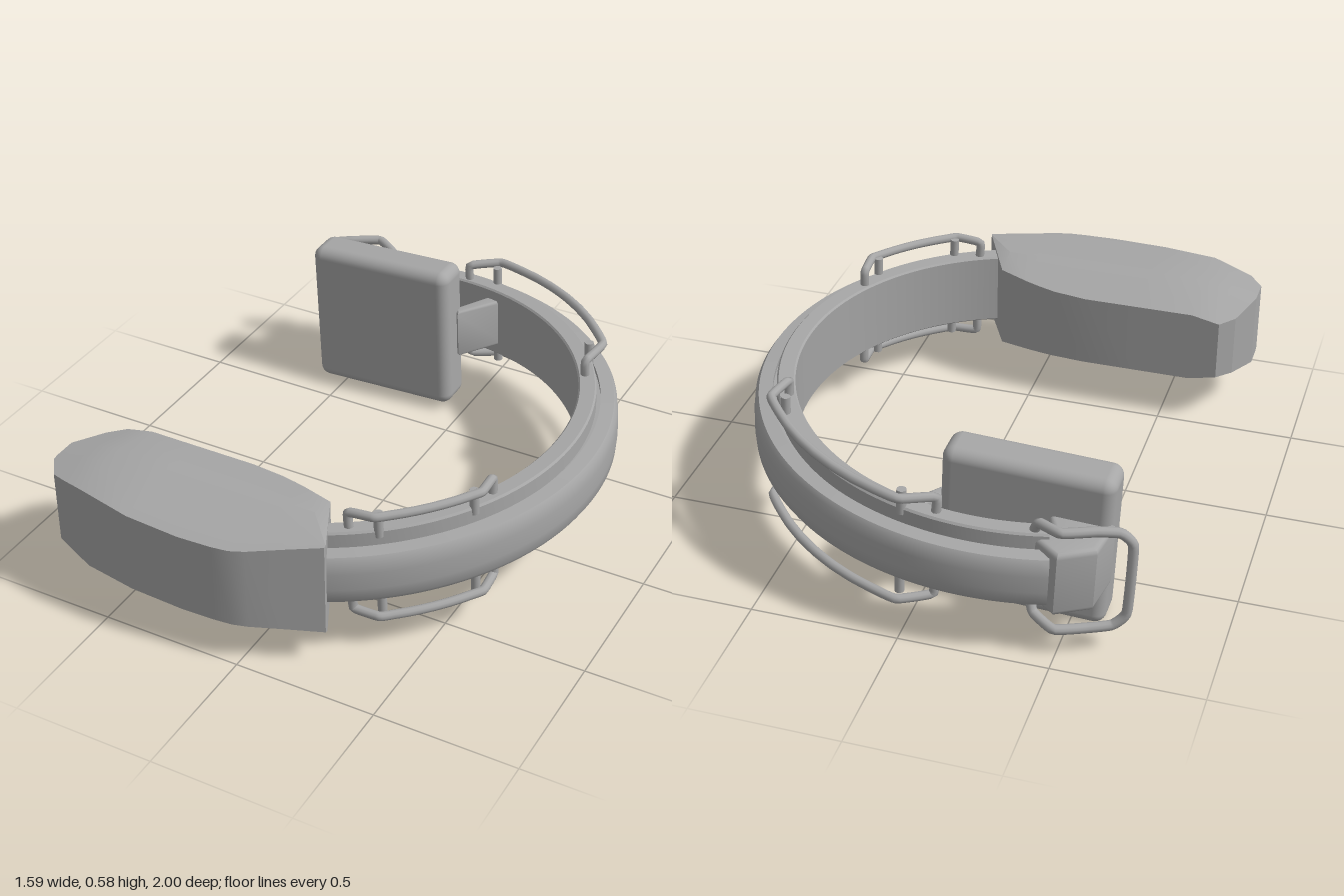
import * as THREE from 'three';
import { toCreasedNormals } from 'three/addons/utils/BufferGeometryUtils.js';
import { RoundedBoxGeometry } from 'three/addons/geometries/RoundedBoxGeometry.js';

const grey = new THREE.MeshStandardMaterial({ color: 0xa6a6a6, side: THREE.DoubleSide });
grey.name = 'grey enamel';

const CENTRE = new THREE.Vector3(-0.18, 0.298, -0.03); // centre of the C arc
const TILT = 0.044;
const rad = THREE.MathUtils.degToRad;
const V = (x, y, z) => new THREE.Vector3(x, y, z);
// point on the arc: radius, height, angle from +z towards +x
const polar = (r, y, deg) => V(r * Math.sin(rad(deg)), y, r * Math.cos(rad(deg)));

function add(parent, name, geometry) {
  const mesh = new THREE.Mesh(geometry, grey);
  mesh.name = name;
  parent.add(mesh);
  return mesh;
}

// C-shaped arm: stepped profile swept round, with end caps
function buildArc(parent) {
  const upper = [[0.97, 0.03], [0.966, 0.07], [0.955, 0.087], [0.908, 0.092],
    [0.908, 0.075], [0.893, 0.075], [0.893, 0.13], [0.887, 0.137], [0.836, 0.137], [0.83, 0.131]];
  const half = upper.map(([r, y]) => new THREE.Vector2(r, y));
  const profile = [...half.map(p => new THREE.Vector2(p.x, -p.y)).reverse(), ...half];
  const start = 20, end = 198;
  const lathe = new THREE.LatheGeometry([...profile, profile[0].clone()], 96, rad(start), rad(end - start));
  add(parent, 'arcArm', toCreasedNormals(lathe, 0.5));
  for (const a of [start, end]) {
    const cap = new THREE.ShapeGeometry(new THREE.Shape(profile));
    cap.rotateY(rad(a - 90));
    add(parent, 'arcEndCap', cap);
  }
}

function bar(parent, name, points, radius) {
  const curve = new THREE.CatmullRomCurve3(points, false, 'catmullrom', 0.2);
  add(parent, name, new THREE.TubeGeometry(curve, 80, radius, 10, false));
}

// Grab rails above and below the arc, bent inwards onto their feet
function buildRail(parent, name, a0, a1, radius, bend) {
  for (const s of [1, -1]) {
    const pts = [polar(0.857, s * 0.12, a0), polar(0.857, s * 0.19, a0)];
    for (let i = 0; i <= 8; i++) {
      pts.push(polar(radius, s * 0.197, THREE.MathUtils.lerp(a0 + bend, a1 - bend, i / 8)));
    }
    pts.push(polar(0.857, s * 0.19, a1), polar(0.857, s * 0.12, a1));
    bar(parent, name, pts, 0.016);
    // short posts under the bar
    for (const a of [a0 + bend + 1, a1 - bend - 1]) {
      const post = add(parent, name + 'Post', new THREE.CylinderGeometry(0.016, 0.016, 0.09, 10));
      post.position.copy(polar(0.885, s * 0.155, a));
    }
  }
}

// Tube housing: cross-sections along x, each [x, back z, front z]
function buildHousing(parent) {
  const sections = [[-0.8, 0.72, 0.82], [-0.75, 0.59, 0.89], [-0.7, 0.535, 0.91], [-0.6, 0.535, 0.945],
    [-0.4, 0.535, 0.985], [-0.2, 0.535, 0.997], [-0.08, 0.55, 0.992], [-0.02, 0.565, 0.985],
    [0.03, 0.58, 0.967], [0.14, 0.62, 0.91], [0.25, 0.845, 0.855]];
  const height = (x, z) => 0.18 - Math.max(0, z - 0.8) * 0.17 - Math.max(0, 0.72 - z) * 0.25
    - Math.max(0, -0.6 - x) * 0.22;
  const pos = [], idx = [], n = 8;
  for (const [x, back, front] of sections) {
    const zs = [back, THREE.MathUtils.clamp(0.72, back, front), THREE.MathUtils.clamp(0.8, back, front), front];
    for (const z of zs) pos.push(x, 0.298 + height(x, z), z);
    for (const z of zs.reverse()) pos.push(x, 0.298 - height(x, z), z);
  }
  const last = (sections.length - 1) * n;
  for (let k = 0; k < last; k += n) {
    for (let i = 0; i < n; i++) {
      const j = (i + 1) % n;
      idx.push(k + i, k + j, k + n + j, k + i, k + n + j, k + n + i);
    }
  }
  for (let i = 1; i < n - 1; i++) idx.push(0, i + 1, i, last, last + i, last + i + 1);
  const geo = new THREE.BufferGeometry();
  geo.setAttribute('position', new THREE.Float32BufferAttribute(pos, 3));
  geo.setIndex(idx);
  add(parent, 'tubeHousing', toCreasedNormals(geo, 0.35));
}

// Plan outline [x, z] extruded to a half height, with rounded edges
function block(parent, name, outline, half, bevel) {
  const shape = new THREE.Shape(outline.map(([x, z]) => new THREE.Vector2(x - CENTRE.x, z - CENTRE.z)));
  const geo = new THREE.ExtrudeGeometry(shape, { depth: 2 * (half - bevel), bevelThickness: bevel,
    bevelSize: bevel, bevelOffset: -bevel, bevelSegments: 4 });
  geo.rotateX(Math.PI / 2);
  geo.translate(0, half - bevel, 0);
  add(parent, name, toCreasedNormals(geo, 0.6));
}

export function createModel() {
  const model = new THREE.Group();
  model.name = 'imagingArm';
  const tilted = new THREE.Group();
  tilted.name = 'tiltedArm';
  tilted.position.copy(CENTRE);
  tilted.rotation.z = TILT;
  model.add(tilted);

  buildArc(tilted);
  buildRail(tilted, 'frontRail', 31, 64, 0.905, 5);
  buildRail(tilted, 'rearRail', 118, 174, 0.93, 6);
  buildHousing(model);

  // Square detector panel
  const panel = add(tilted, 'detectorPanel', new RoundedBoxGeometry(0.565, 0.56, 0.15, 5, 0.04));
  panel.position.set(-0.162, 0.0, -0.655);

  // Neck and side strut joining the panel to the arc
  block(tilted, 'detectorNeck', [[-0.63, -0.73], [-0.61, -0.88], [-0.5, -0.95], [-0.4, -0.88],
    [-0.44, -0.8], [-0.41, -0.73]], 0.12, 0.02);
  block(tilted, 'detectorStrut', [[-0.08, -0.72], [0.0, -0.85], [0.06, -0.84], [-0.05, -0.69]], 0.095, 0.012);

  // Loop handle wrapped round the end of the arc
  const side = s => [[-0.4, 0.12, -0.86], [-0.42, 0.175, -0.88], [-0.5, 0.188, -0.925],
    [-0.6, 0.188, -0.88], [-0.67, 0.18, -0.85], [-0.71, 0.13, -0.835]]
    .map(([x, y, z]) => V(x - CENTRE.x, s * y, z - CENTRE.z));
  bar(tilted, 'endHandle', [...side(1), ...side(-1).reverse()], 0.017);

  return model;
}
